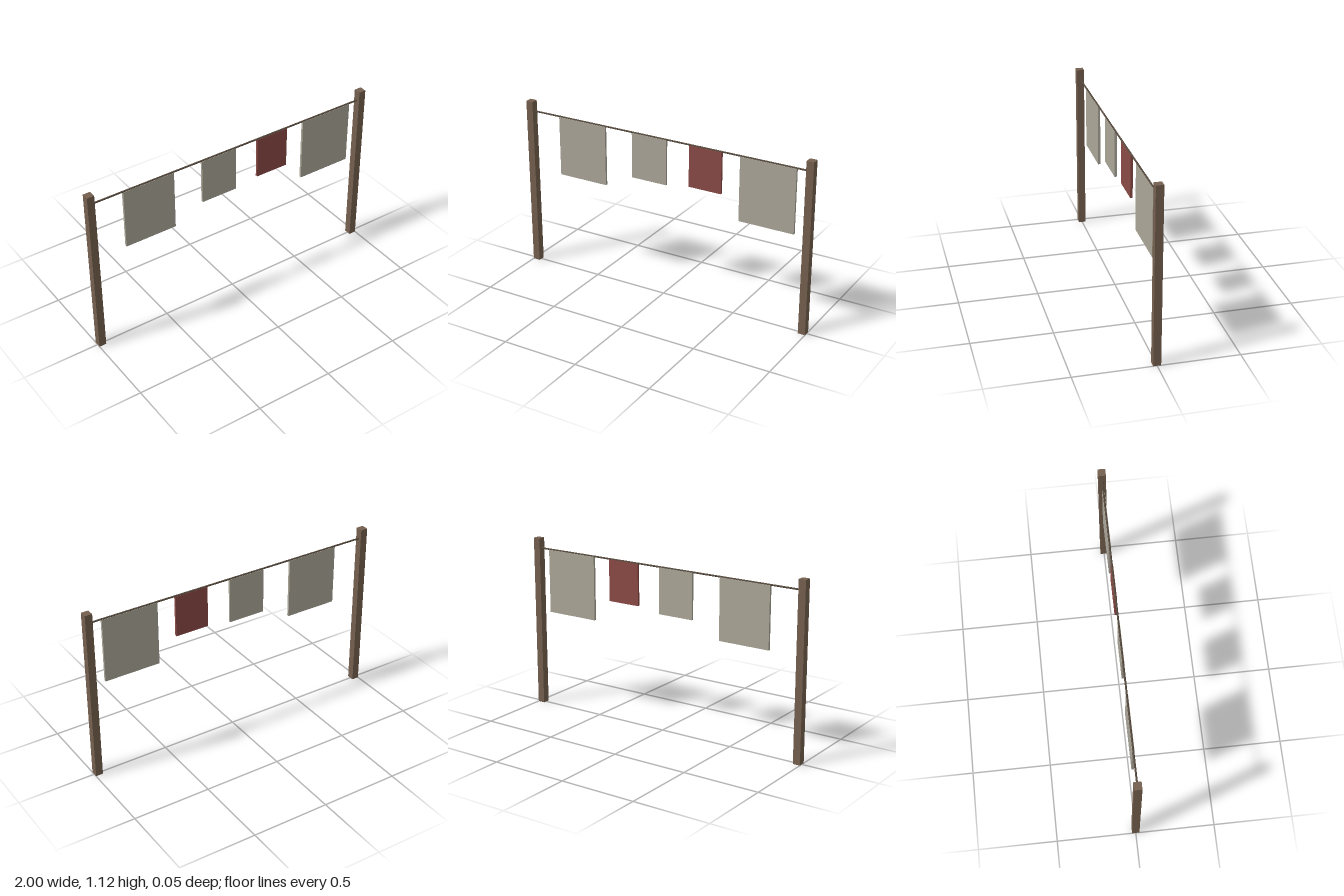
import * as THREE from 'three';

export function createModel() {
  const model = new THREE.Group();
  const material = (name, color) => {
    const m = new THREE.MeshStandardMaterial({ color });
    m.name = name;
    return m;
  };
  const wood = material('brown wood', 0x75604f);
  const cord = material('dark cord', 0x564a3e);
  const linen = material('grey linen', 0xaba698);
  const red = material('faded red cloth', 0x8a4a46);

  const add = (name, geometry, mat, x, y) => {
    const mesh = new THREE.Mesh(geometry, mat);
    mesh.name = name;
    mesh.position.set(x, y, 0);
    model.add(mesh);
    return mesh;
  };

  // Square posts at both ends
  const postHeight = 1.122, postWidth = 0.047;
  for (const [name, side] of [['leftPost', 1], ['rightPost', -1]]) {
    add(name, new THREE.BoxGeometry(postWidth, postHeight, postWidth), wood,
      side * (1 - postWidth / 2), postHeight / 2);
  }

  // Taut line between the posts
  const lineY = 1.055;
  add('line', new THREE.CylinderGeometry(0.0056, 0.0056, 1.95, 8), cord, 0, lineY)
    .rotation.z = Math.PI / 2;

  // Hanging cloths: name, left edge, right edge, bottom, material
  const cloths = [
    ['wideCloth', -0.76, -0.417, 0.661, linen],
    ['smallCloth', -0.221, 0.022, 0.758, linen],
    ['redCloth', 0.181, 0.402, 0.784, red],
    ['largeCloth', 0.524, 0.888, 0.637, linen],
  ];
  const clothTop = 1.053;
  for (const [name, x0, x1, bottom, mat] of cloths) {
    add(name, new THREE.BoxGeometry(x1 - x0, clothTop - bottom, 0.015), mat,
      (x0 + x1) / 2, (clothTop + bottom) / 2);
  }
  return model;
}
